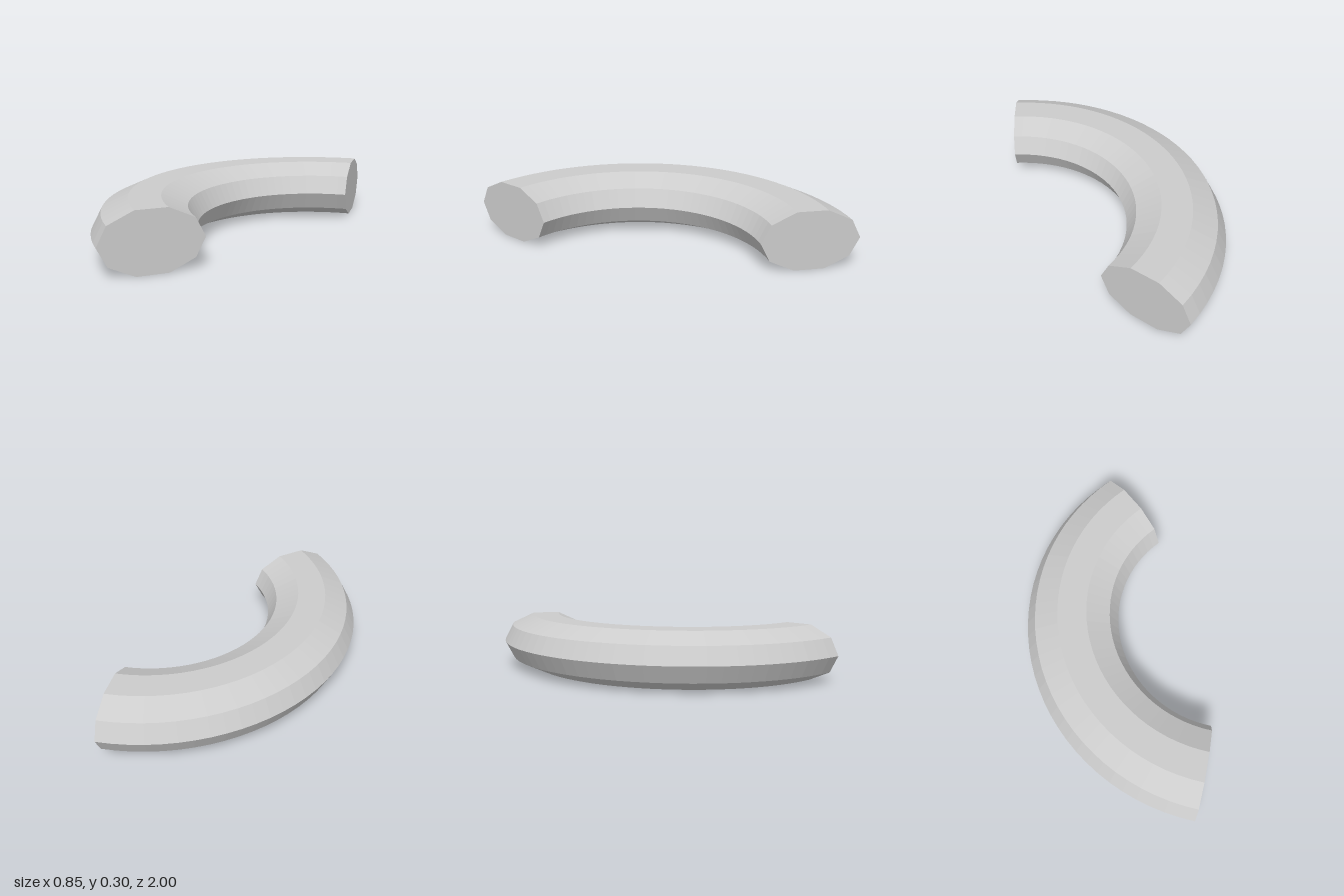
import * as THREE from 'three';

const SIDES = 10, SEGMENTS = 32;
const RING = 0.855;                  // arc radius to the middle of the section
const HALF_W = 0.248, HALF_H = 0.1577; // section half width and half height
const CENTRE_X = 0.677, CENTRE_Y = 0.15;
const HALF_ARC = THREE.MathUtils.degToRad(65);

export function createModel() {
  const group = new THREE.Group();
  group.name = 'curvedTube';
  const grey = new THREE.MeshStandardMaterial({ color: 0xcccccc, flatShading: true });
  grey.name = 'light grey';

  // Ten-sided flattened section swept around the arc
  const profile = [];
  for (let i = 0; i <= SIDES; i++) {
    const a = (i / SIDES) * Math.PI * 2;
    profile.push(new THREE.Vector2(RING + HALF_W * Math.cos(a), HALF_H * Math.sin(a)));
  }
  const start = -Math.PI / 2 - HALF_ARC;
  const body = new THREE.Mesh(new THREE.LatheGeometry(profile, SEGMENTS, start, HALF_ARC * 2), grey);
  body.name = 'arcBody';
  group.add(body);

  // Flat caps closing both ends
  const addCap = (name, phi, turn) => {
    const cap = new THREE.Mesh(new THREE.CircleGeometry(1, SIDES).scale(HALF_W, HALF_H, 1), grey);
    cap.name = name;
    cap.position.set(RING * Math.sin(phi), 0, RING * Math.cos(phi));
    cap.rotation.y = phi + turn;
    group.add(cap);
  };
  addCap('backEndCap', start, -Math.PI / 2);
  addCap('frontEndCap', start + HALF_ARC * 2, Math.PI / 2);

  group.children.forEach((part) => {
    part.position.x += CENTRE_X;
    part.position.y += CENTRE_Y;
  });
  return group;
}
